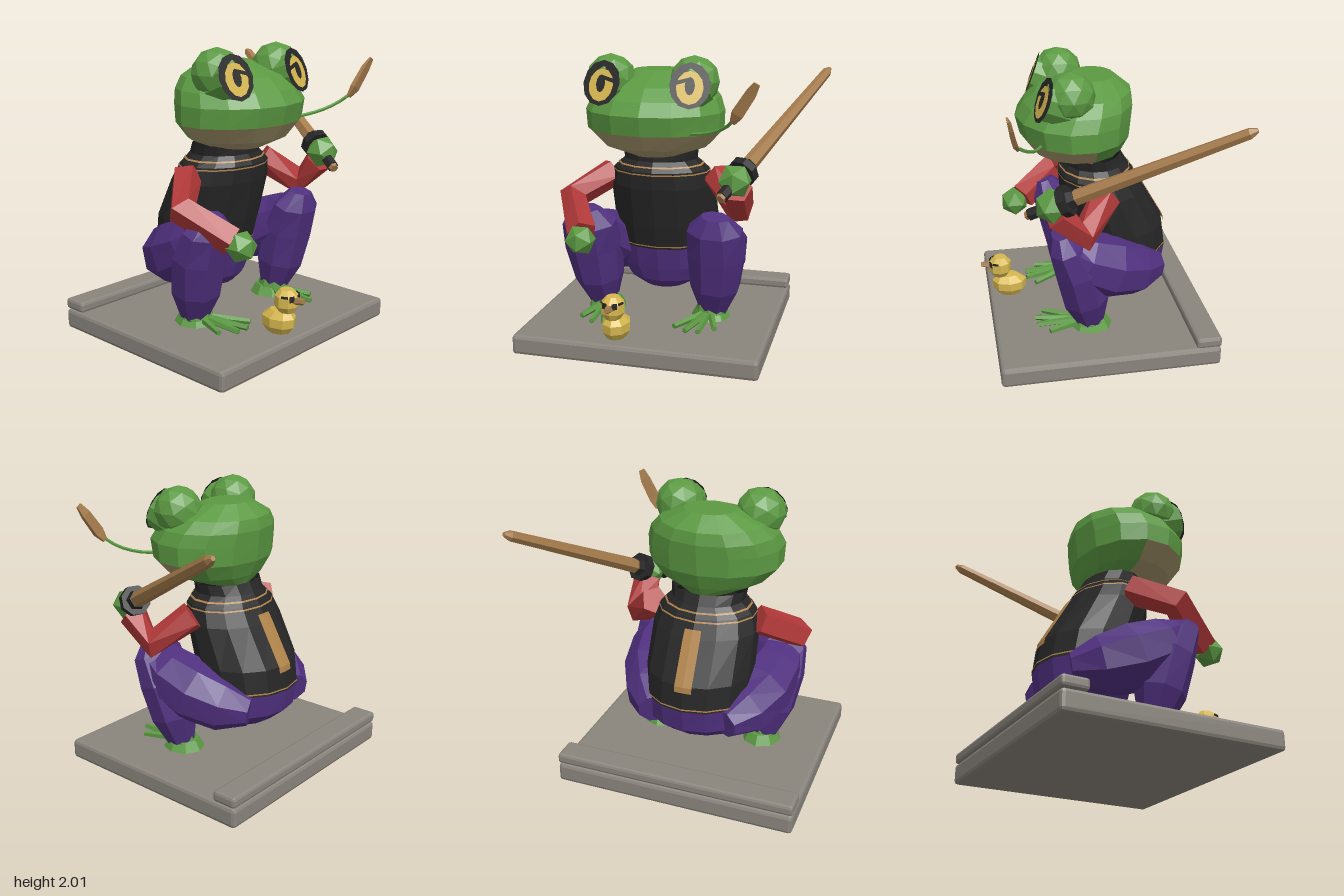
import * as THREE from 'three';
import { RoundedBoxGeometry } from 'three/addons/geometries/RoundedBoxGeometry.js';

const V = (x, y, z) => new THREE.Vector3(x, y, z);
const mat = (name, color, side = THREE.FrontSide) => {
  const m = new THREE.MeshStandardMaterial({ color, side });
  m.name = name;
  return m;
};

// Facet every face
function flat(geo) {
  const g = geo.index ? geo.toNonIndexed() : geo;
  g.computeVertexNormals();
  return g;
}

// Skin rows of points, bottom row first
function skin(rows) {
  const pos = [], idx = [], n = rows[0].length;
  rows.forEach(r => r.forEach(p => pos.push(p.x, p.y, p.z)));
  for (let i = 0; i < rows.length - 1; i++) {
    for (let j = 0; j < n - 1; j++) {
      const a = i * n + j, b = a + n;
      idx.push(a, a + 1, b + 1, a, b + 1, b);
    }
  }
  const g = new THREE.BufferGeometry();
  g.setAttribute('position', new THREE.Float32BufferAttribute(pos, 3));
  g.setIndex(idx);
  return flat(g);
}

// Horizontal elliptical rings [y, half width, back z, front z]; angle 0 faces +z
function shell(rings, n, a0 = 0, a1 = Math.PI * 2) {
  return skin(rings.map(([y, rx, zb, zf]) => Array.from({ length: n + 1 }, (_, j) => {
    const a = a0 + (a1 - a0) * j / n;
    return V(rx * Math.sin(a), y, (zb + zf) / 2 + (zf - zb) / 2 * Math.cos(a));
  })));
}

// Ring of a profile at height y, grown slightly
function ringAt(rings, y, grow) {
  const i = Math.max(1, rings.findIndex(r => r[0] >= y));
  const [p, q] = [rings[i - 1], rings[i]];
  const r = p.map((v, k) => v + (q[k] - v) * (y - p[0]) / (q[0] - p[0]));
  return [y, r[1] + grow, r[2] - grow, r[3] + grow];
}

// Limb along stations [x, y, z, lateral radius, depth radius], closed at both ends
function limb(st, n) {
  const p = st.map(s => V(s[0], s[1], s[2]));
  const rows = st.map((s, i) => {
    const t = p[Math.min(i + 1, p.length - 1)].clone().sub(p[Math.max(i - 1, 0)]).normalize();
    const u = V(1, 0, 0).addScaledVector(t, -t.x).normalize();
    const w = u.clone().cross(t);
    return Array.from({ length: n + 1 }, (_, j) => {
      const a = (j + 0.5) / n * Math.PI * 2;
      return p[i].clone().addScaledVector(u, s[3] * Math.sin(a)).addScaledVector(w, s[4] * Math.cos(a));
    });
  });
  const cap = q => Array.from({ length: n + 1 }, () => q.clone());
  return skin([cap(p[0]), ...rows, cap(p[p.length - 1])]);
}

export function createModel() {
  const stone = mat('stone', 0x8a857d), green = mat('frog green', 0x5c9a43);
  const jawTan = mat('jaw tan', 0xa3936a), black = mat('black', 0x262626, THREE.DoubleSide);
  const yellow = mat('yellow', 0xd6b74f, THREE.DoubleSide), purple = mat('purple', 0x50307f);
  const red = mat('red', 0xb03838), wood = mat('wood', 0xa57b4c);
  const trim = mat('trim', 0xb0834a, THREE.DoubleSide);

  const model = new THREE.Group();
  const frog = new THREE.Group();
  frog.name = 'frog';
  frog.position.x = -0.13;
  model.add(frog);
  const add = (parent, name, geo, m, pos) => {
    const mesh = new THREE.Mesh(flat(geo), m);
    mesh.name = name;
    if (pos) mesh.position.set(...pos);
    parent.add(mesh);
    return mesh;
  };
  const rod = (parent, name, a, b, r0, r1, n, m) => {
    const d = b.clone().sub(a);
    const mesh = add(parent, name, new THREE.CylinderGeometry(r1, r0, d.length(), n), m);
    mesh.position.copy(a).addScaledVector(d, 0.5);
    mesh.quaternion.setFromUnitVectors(V(0, 1, 0), d.normalize());
    return mesh;
  };

  // Stone slab with a curb at the back
  add(model, 'slab', new RoundedBoxGeometry(1.7, 0.14, 1.53, 1, 0.025), stone, [-0.13, 0.07, -0.005]);
  add(model, 'curb', new RoundedBoxGeometry(1.7, 0.075, 0.18, 1, 0.02), stone, [-0.13, 0.183, -0.68]);

  // Trousers seat and vest
  const seat = [[0.3, 0, -0.12, -0.12], [0.3, 0.15, -0.25, 0], [0.36, 0.28, -0.4, 0.05],
    [0.46, 0.36, -0.52, 0.08], [0.62, 0.37, -0.545, 0.12]];
  const vest = [[0.62, 0.37, -0.545, 0.12], [0.8, 0.38, -0.52, 0.17], [1.08, 0.375, -0.36, 0.23],
    [1.2, 0.34, -0.29, 0.24], [1.27, 0.26, -0.24, 0.2], [1.34, 0.27, -0.2, 0.2]];
  add(frog, 'trouserSeat', shell(seat, 14), purple);
  add(frog, 'vest', shell(vest, 14), black);
  for (const y of [0.64, 1.185, 1.235]) {
    add(frog, 'vestTrim', shell([y - 0.005, y + 0.005].map(h => ringAt(vest, h, 0.006)), 14), trim);
  }
  add(frog, 'backPatch', shell([0.76, 0.8, 1.08, 1.14].map(h => ringAt(vest, h, 0.006)), 2,
    Math.PI - 0.16, Math.PI + 0.16), trim);

  // Head, with a tan front to the jaw
  const skull = [[1.5, 0.475, -0.26, 0.5], [1.63, 0.48, -0.275, 0.53], [1.72, 0.445, -0.285, 0.47],
    [1.8, 0.37, -0.27, 0.38], [1.89, 0.18, -0.16, 0.14], [1.89, 0, 0, 0]];
  const jaw = [[1.32, 0, 0.06, 0.06], [1.32, 0.18, -0.17, 0.28], [1.39, 0.37, -0.21, 0.42], skull[0]];
  const j0 = Math.PI * 4 / 7;
  add(frog, 'skull', shell(skull, 14), green);
  add(frog, 'jawFront', shell(jaw, 8, -j0, j0), jawTan);
  add(frog, 'jawBack', shell(jaw, 6, j0, Math.PI * 2 - j0), green);

  for (const s of [-1, 1]) {
    const side = s > 0 ? 'left' : 'right';
    // Bulging eye with layered plates
    add(frog, side + 'EyeBulge', new THREE.IcosahedronGeometry(0.17, 1), green, [s * 0.29, 1.835, 0.19]);
    const eye = new THREE.Group();
    eye.name = side + 'Eye';
    eye.position.set(s * 0.3, 1.825, 0.365);
    eye.quaternion.setFromUnitVectors(V(0, 0, 1), V(s * 0.15, 0.35, 0.92).normalize());
    frog.add(eye);
    const socket = add(eye, 'socket', new THREE.CylinderGeometry(0.135, 0.15, 0.16, 10), green, [0, 0, -0.082]);
    socket.rotation.x = Math.PI / 2;
    const disc = (name, rx, ry, y, z, m) =>
      add(eye, name, new THREE.CircleGeometry(1, 12).scale(rx, ry, 1), m, [0, y, z]);
    disc('eyeRim', 0.135, 0.155, 0, 0.001, black);
    disc('iris', 0.09, 0.112, -0.015, 0.006, yellow);
    disc('pupil', 0.033, 0.06, -0.005, 0.011, black);
    const lid = add(eye, 'lid', new THREE.PlaneGeometry(0.12, 0.025), black, [-s * 0.05, 0.025, 0.011]);
    lid.rotation.z = s * 0.3;

    // Squatting leg
    add(frog, side + 'Thigh', limb([[s * 0.25, 0.52, -0.42, 0.12, 0.11], [s * 0.33, 0.55, -0.25, 0.2, 0.2],
      [s * 0.41, 0.62, -0.05, 0.22, 0.23], [s * 0.45, 0.72, 0.15, 0.2, 0.2], [s * 0.45, 0.84, 0.29, 0.16, 0.1]], 8), purple);
    add(frog, side + 'Shin', limb([[s * 0.41, 0.2, 0.08, 0.1, 0.1], [s * 0.43, 0.4, 0.12, 0.18, 0.17],
      [s * 0.45, 0.65, 0.18, 0.21, 0.17], [s * 0.45, 0.84, 0.26, 0.2, 0.13], [s * 0.46, 0.94, 0.29, 0.1, 0.07]], 8), purple);

    // Webless foot with splayed toes
    add(frog, side + 'Foot', new THREE.CylinderGeometry(0.11, 0.15, 0.07, 8).scale(0.95, 1, 1), green, [s * 0.39, 0.18, 0.07]);
    add(frog, side + 'AnkleCuff', new THREE.CylinderGeometry(0.1, 0.115, 0.07, 8), green, [s * 0.4, 0.225, 0.09]);
    for (const [x, z] of [[0.2, 0.4], [0.29, 0.46], [0.38, 0.46], [0.48, 0.38]]) {
      rod(frog, side + 'Toe', V(s * 0.39, 0.19, 0.1), V(s * x, 0.172, z), 0.03, 0.02, 5, green);
    }
  }

  // Sleeves and hands
  const sleeve = pts => limb(pts.map(p => [...p, 0.105, 0.105]), 5);
  add(model, 'rightSleeve', sleeve([[-0.49, 1.14, -0.03], [-0.725, 0.99, 0.17], [-0.56, 0.81, 0.46]]), red);
  add(model, 'rightHand', new THREE.IcosahedronGeometry(0.108, 0), green, [-0.55, 0.78, 0.52]);
  add(model, 'leftSleeve', sleeve([[0.27, 1.16, -0.03], [0.47, 0.97, 0.16], [0.48, 1.15, 0.33]]), red);
  add(model, 'leftHand', new THREE.IcosahedronGeometry(0.118, 0), green, [0.475, 1.215, 0.365]);

  // Wooden sword
  const hilt = V(0.41, 1.13, 0.52), tip = V(0.955, 1.835, -0.8);
  const on = t => hilt.clone().lerp(tip, t);
  const sword = new THREE.Group();
  sword.name = 'woodenSword';
  model.add(sword);
  rod(sword, 'pommel', on(-0.005), on(0.012), 0.03, 0.035, 6, wood);
  rod(sword, 'grip', on(0.01), on(0.2), 0.042, 0.04, 6, black);
  rod(sword, 'guard', on(0.165), on(0.2), 0.105, 0.105, 8, black);
  rod(sword, 'collar', on(0.2), on(0.23), 0.07, 0.06, 6, black);
  rod(sword, 'blade', on(0.2), on(0.97), 0.056, 0.036, 6, wood);
  rod(sword, 'bladeTip', on(0.97), on(1), 0.036, 0.015, 6, wood);

  // Straw held in the mouth
  const stem = new THREE.QuadraticBezierCurve3(V(0.16, 1.51, 0.38), V(0.4, 1.53, 0.47), V(0.49, 1.64, 0.57));
  add(model, 'strawStem', new THREE.TubeGeometry(stem, 6, 0.012, 5), green);
  add(model, 'strawHead', limb([[0.49, 1.63, 0.57, 0.025, 0.012], [0.525, 1.69, 0.595, 0.055, 0.022],
    [0.61, 1.82, 0.62, 0.05, 0.018], [0.65, 1.885, 0.64, 0.03, 0.008]], 4), wood);

  // Toy duck
  const duck = new THREE.Group();
  duck.name = 'duck';
  duck.position.set(-0.275, 0, 0);
  model.add(duck);
  add(duck, 'duckBody', shell([[0.15, 0, 0.6, 0.6], [0.15, 0.065, 0.52, 0.69], [0.2, 0.095, 0.48, 0.73],
    [0.26, 0.095, 0.48, 0.735], [0.305, 0.055, 0.54, 0.7], [0.31, 0, 0.62, 0.62]], 8), yellow);
  add(duck, 'duckHead', shell([[0.305, 0, 0.67, 0.67], [0.305, 0.05, 0.62, 0.73], [0.35, 0.082, 0.59, 0.755],
    [0.42, 0.082, 0.59, 0.755], [0.46, 0.045, 0.625, 0.715], [0.46, 0, 0.67, 0.67]], 8), yellow);
  rod(duck, 'bill', V(0, 0.395, 0.73), V(0, 0.405, 0.815), 0.032, 0.018, 5, wood);
  for (const s of [-1, 1]) {
    const e = add(duck, 'duckEye', new THREE.BoxGeometry(0.035, 0.04, 0.006), black, [s * 0.035, 0.412, 0.744]);
    e.rotation.y = s * 0.39;
    const b = add(duck, 'duckBrow', new THREE.BoxGeometry(0.045, 0.015, 0.006), black, [s * 0.068, 0.425, 0.709]);
    b.rotation.y = s * 1.17;
  }
  return model;
}
